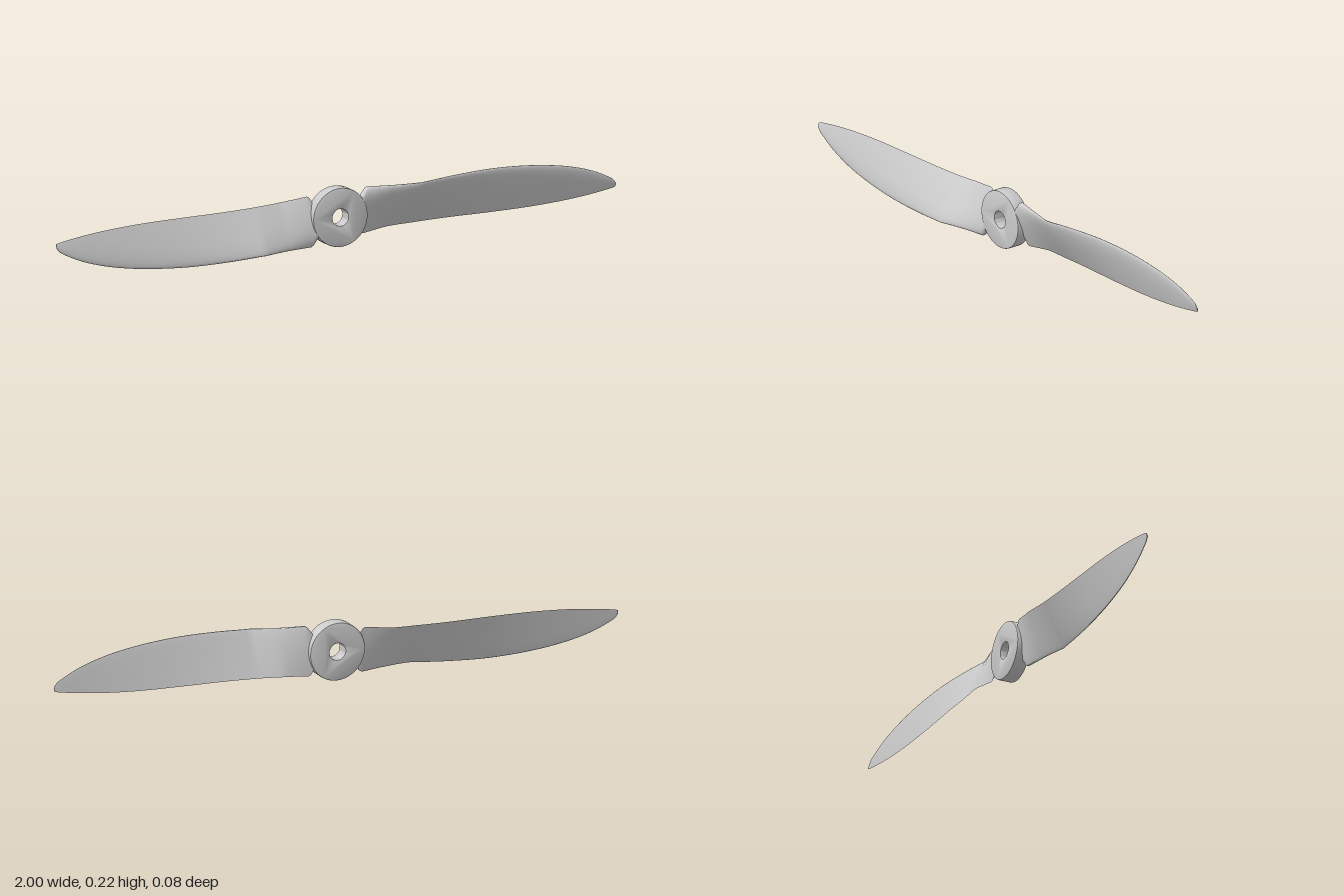
import * as THREE from 'three';
import { toCreasedNormals } from 'three/addons/utils/BufferGeometryUtils.js';

const CENTRE_Y = 0.111;
const material = new THREE.MeshStandardMaterial({ color: 0xcccccc });

// Blade outline: x, leading edge y, trailing edge y (relative to the hub axis)
const OUTLINE = [
  [0.1, 0.09, -0.07], [0.19, 0.09, -0.058], [0.28, 0.094, -0.052], [0.4, 0.104, -0.047],
  [0.55, 0.11, -0.044], [0.7, 0.103, -0.039], [0.82, 0.086, -0.03], [0.91, 0.062, -0.019],
  [0.97, 0.036, -0.009], [0.99, 0.024, -0.005], [1, 0.012, -0.002],
];
// Depth and thickness: x, leading edge z, trailing edge z, thickness
const DEPTH = [
  [0.06, -0.008, -0.028, 0.026], [0.1, -0.004, -0.033, 0.026], [0.19, 0.014, -0.043, 0.022],
  [0.28, 0.034, -0.037, 0.018], [0.55, 0.012, -0.031, 0.014], [0.8, -0.006, -0.028, 0.01],
  [1, -0.023, -0.026, 0.004],
];

function depthAt(x) {
  let i = 0;
  while (i < DEPTH.length - 2 && x > DEPTH[i + 1][0]) i++;
  const a = DEPTH[i], b = DEPTH[i + 1];
  const t = THREE.MathUtils.clamp((x - a[0]) / (b[0] - a[0]), 0, 1);
  return [1, 2, 3].map((k) => THREE.MathUtils.lerp(a[k], b[k], t));
}

// Aerofoil thickness along the chord, peak 1, closing at both ends
const aerofoil = (t) =>
  10 * (0.2969 * Math.sqrt(t) - 0.126 * t - 0.3516 * t ** 2 + 0.2843 * t ** 3 - 0.1036 * t ** 4);

// One cross-section: trailing edge, over the front to the leading edge, back behind
function section([x, yLead, yTrail], half) {
  const [zLead, zTrail, thick] = depthAt(x);
  const dy = yTrail - yLead, dz = zTrail - zLead;
  const chord = Math.hypot(dy, dz);
  const ny = dz / -chord, nz = -dy / chord; // towards the front
  const points = [];
  for (let j = 0; j <= 2 * half; j++) {
    const t = (1 + Math.cos((Math.PI * j) / half)) / 2;
    const h = thick * aerofoil(t) * (j < half ? 0.85 : -0.15);
    points.push([x, yLead + dy * t + ny * h, zLead + dz * t + nz * h]);
  }
  return points;
}

function bladeGeometry() {
  const curve = new THREE.CatmullRomCurve3(
    OUTLINE.map((p) => new THREE.Vector3(...p)), false, 'centripetal');
  // The root narrows into the hub, then the outline runs out to the tip
  const stations = [[0.06, 0.045, -0.035], [0.082, 0.07, -0.052], [0.092, 0.085, -0.066]];
  for (let i = 0; i <= 80; i++) stations.push(curve.getPoint(i / 80).toArray());

  const half = 18, n = 2 * half + 1;
  const positions = [], index = [];
  stations.forEach((s) => section(s, half).forEach((p) => positions.push(...p)));
  for (let i = 0; i < stations.length - 1; i++) {
    for (let j = 0; j < n - 1; j++) {
      const a = i * n + j, b = a + n;
      index.push(a, b, a + 1, b, b + 1, a + 1);
    }
  }
  // Tip and root caps with their own corners
  const last = stations.length - 1;
  for (const [station, tip] of [[last, true], [0, false]]) {
    const base = positions.length / 3;
    section(stations[station], half).forEach((p) => positions.push(...p));
    for (let j = 1; j < n - 1; j++) {
      if (tip) index.push(base, base + j + 1, base + j);
      else index.push(base, base + j, base + j + 1);
    }
  }
  const geometry = new THREE.BufferGeometry();
  geometry.setAttribute('position', new THREE.Float32BufferAttribute(positions, 3));
  geometry.setIndex(index);
  geometry.computeVertexNormals();
  return geometry;
}

// Round hub with a shaft hole and slightly softened rims
function hubGeometry() {
  const bevel = 0.003;
  const disc = new THREE.Shape().absarc(0, 0, 0.097 - bevel, 0, Math.PI * 2, false);
  disc.holes.push(new THREE.Path().absarc(0, 0, 0.028 + bevel, 0, Math.PI * 2, true));
  const geometry = new THREE.ExtrudeGeometry(disc, {
    depth: 0.048 - 2 * bevel, curveSegments: 48,
    bevelSize: bevel, bevelThickness: bevel, bevelSegments: 2,
  });
  geometry.translate(0, 0, -0.037 + bevel);
  return toCreasedNormals(geometry, 0.6);
}

export function createModel() {
  const model = new THREE.Group();
  model.name = 'propeller';
  const rotor = new THREE.Group();
  rotor.name = 'rotor';
  rotor.position.y = CENTRE_Y;
  model.add(rotor);

  const hub = new THREE.Mesh(hubGeometry(), material);
  hub.name = 'hub';
  rotor.add(hub);

  // Two identical blades, half a turn apart
  const geometry = bladeGeometry();
  ['leftBlade', 'rightBlade'].forEach((name, i) => {
    const blade = new THREE.Mesh(geometry, material);
    blade.name = name;
    blade.rotation.z = i * Math.PI;
    rotor.add(blade);
  });
  return model;
}
